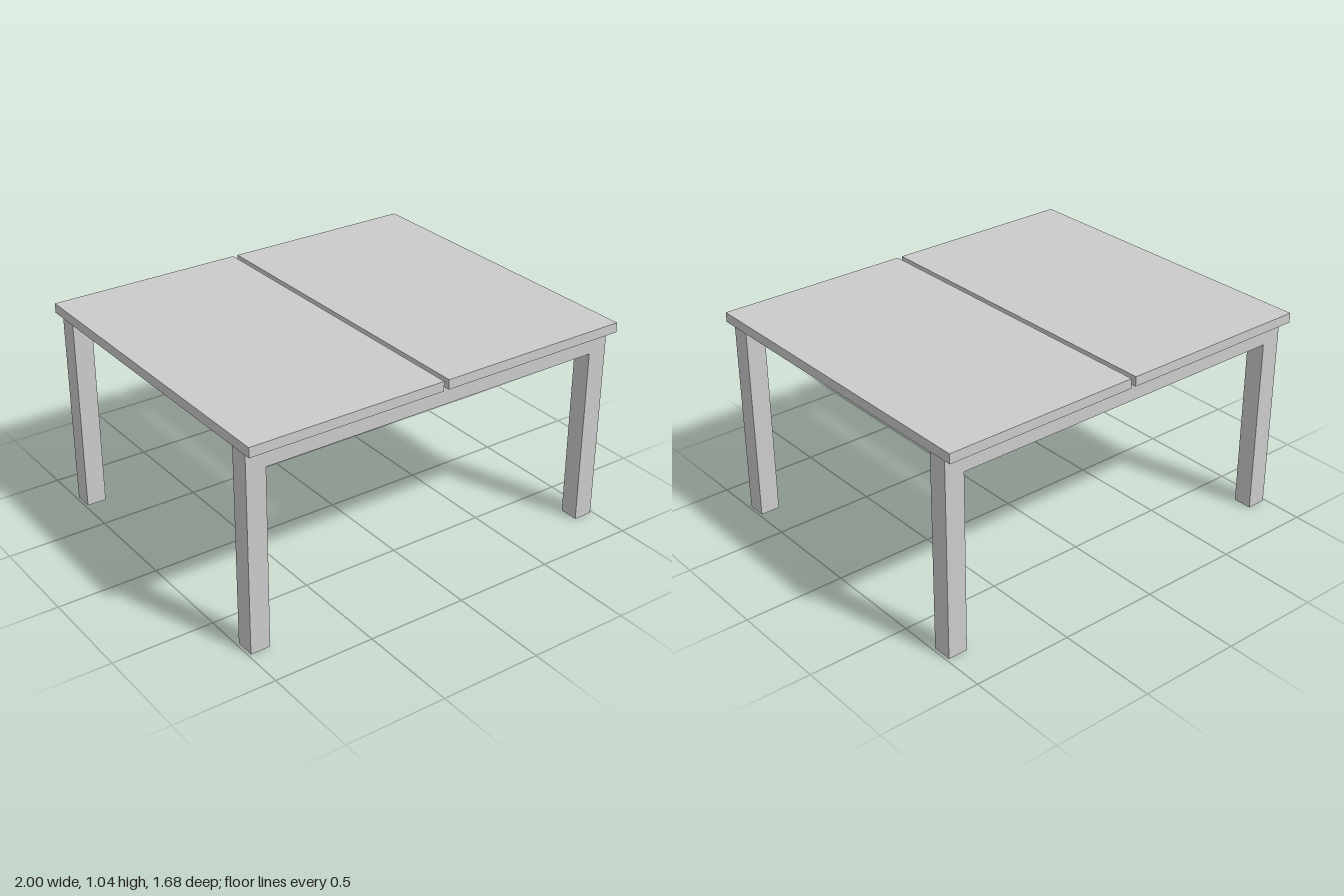
import * as THREE from 'three';

const material = new THREE.MeshStandardMaterial({ color: 0xcccccc, flatShading: true });

const HEIGHT = 0.994;                  // top of the frames
const OUTER = 0.987, INNER = 0.889;    // leg faces across x
const BEAM_BOTTOM = 0.894;
const FRAME_Z = 0.742, FRAME_DEPTH = 0.096;
const TOP_THICKNESS = 0.048, TOP_DEPTH = 1.68, GAP = 0.026;

// One-piece portal frame: two legs joined by a beam
function createFrame(name, z) {
  const outline = new THREE.Shape([
    [-OUTER, 0], [-INNER, 0], [-INNER, BEAM_BOTTOM], [INNER, BEAM_BOTTOM],
    [INNER, 0], [OUTER, 0], [OUTER, HEIGHT], [-OUTER, HEIGHT],
  ].map(([x, y]) => new THREE.Vector2(x, y)));
  const geometry = new THREE.ExtrudeGeometry(outline, { depth: FRAME_DEPTH, bevelEnabled: false });
  geometry.translate(0, 0, z - FRAME_DEPTH / 2);
  const frame = new THREE.Mesh(geometry, material);
  frame.name = name;
  return frame;
}

// Half of the split tabletop
function createTop(name, side) {
  const width = 1 - GAP / 2;
  const top = new THREE.Mesh(new THREE.BoxGeometry(width, TOP_THICKNESS, TOP_DEPTH), material);
  top.position.set(side * (1 - width / 2), HEIGHT + TOP_THICKNESS / 2, 0);
  top.name = name;
  return top;
}

export function createModel() {
  const table = new THREE.Group();
  table.name = 'table';
  table.add(
    createFrame('frontLegFrame', FRAME_Z),
    createFrame('backLegFrame', -FRAME_Z),
    createTop('leftTabletop', 1),
    createTop('rightTabletop', -1),
  );
  return table;
}
